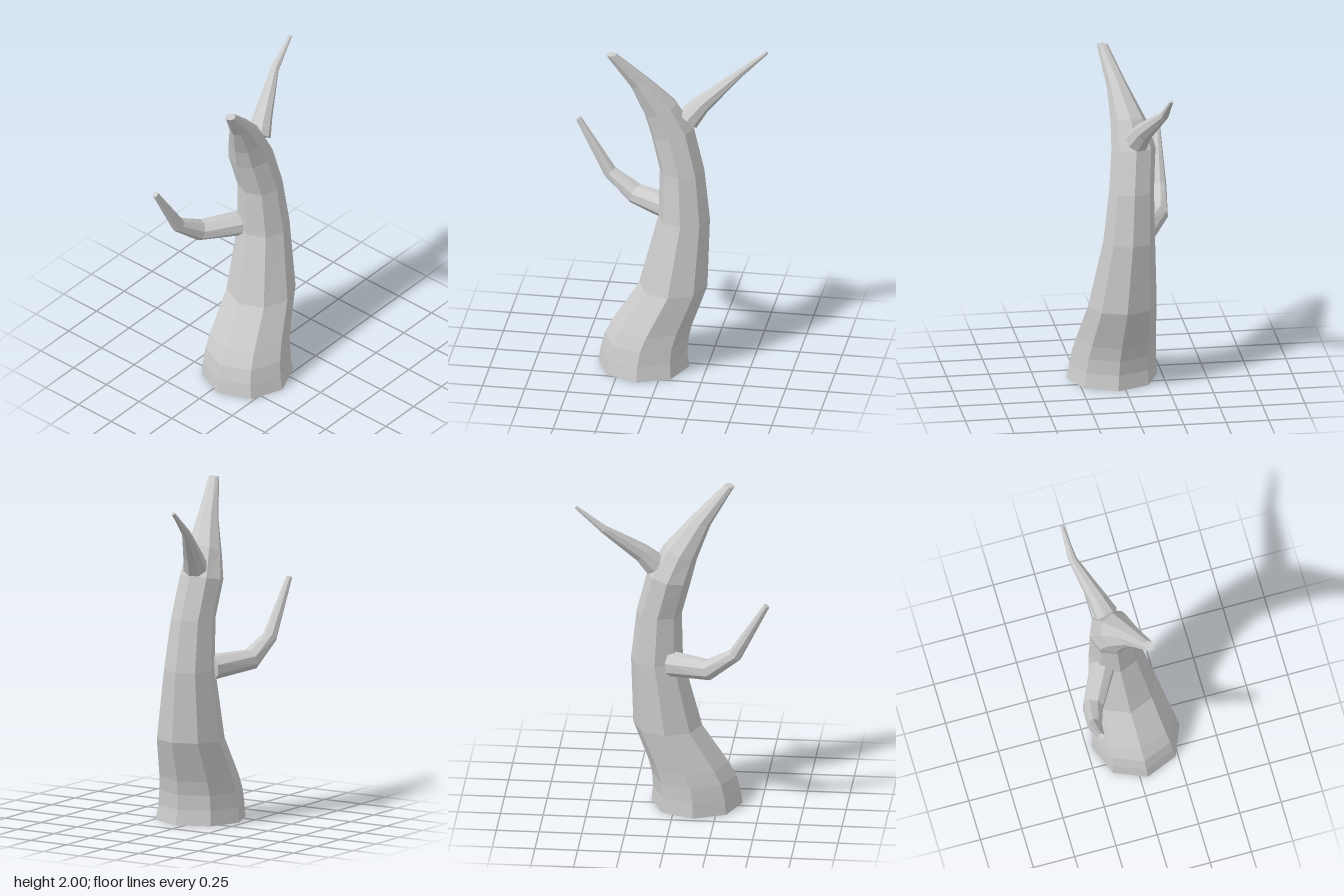
import * as THREE from 'three';

const SIDES = 8;
const UP = new THREE.Vector3(0, 1, 0);

// Faceted, capped limb lofted through rings of [x, y, z, radius, tilt].
// Without a tilt the ring stands square to the path.
function limb(name, rings, material) {
  const centres = rings.map(([x, y, z]) => new THREE.Vector3(x, y, z));
  const points = [];
  const index = [];
  rings.forEach(([, , , radius, tilt], i) => {
    const normal = new THREE.Vector3();
    if (tilt !== undefined) {
      normal.set(-Math.sin(tilt), Math.cos(tilt), 0);
    } else {
      if (i > 0) normal.add(centres[i].clone().sub(centres[i - 1]).normalize());
      if (i < rings.length - 1) normal.add(centres[i + 1].clone().sub(centres[i]).normalize());
      normal.normalize();
    }
    const turn = new THREE.Quaternion().setFromUnitVectors(UP, normal);
    for (let k = 0; k < SIDES; k++) {
      const a = (k / SIDES) * Math.PI * 2;
      points.push(new THREE.Vector3(Math.cos(a) * radius, 0, Math.sin(a) * radius)
        .applyQuaternion(turn).add(centres[i]));
    }
  });
  // Bark faces between neighbouring rings
  for (let i = 0; i < rings.length - 1; i++) {
    for (let k = 0; k < SIDES; k++) {
      const a = i * SIDES + k;
      const b = i * SIDES + (k + 1) % SIDES;
      index.push(a, a + SIDES, b, b, a + SIDES, b + SIDES);
    }
  }
  // End caps
  const last = (rings.length - 1) * SIDES;
  for (let k = 1; k < SIDES - 1; k++) {
    index.push(0, k, k + 1, last, last + k + 1, last + k);
  }
  const indexed = new THREE.BufferGeometry().setFromPoints(points);
  indexed.setIndex(index);
  const geometry = indexed.toNonIndexed();
  geometry.computeVertexNormals();
  const mesh = new THREE.Mesh(geometry, material);
  mesh.name = name;
  return mesh;
}

export function createModel() {
  const group = new THREE.Group();
  group.name = 'bareTree';
  const bark = new THREE.MeshStandardMaterial({ color: 0xcccccc, flatShading: true });

  // Trunk: flared foot, gentle S-bend, tapering into a leaning tip
  group.add(limb('trunk', [
    [-0.122, 0, 0.045, 0.267, 0],
    [-0.121, 0.09, 0.04, 0.256, 0],
    [-0.107, 0.18, 0.035, 0.247, 0],
    [-0.075, 0.265, 0.027, 0.235, 0],
    [0.045, 0.505, 0.007, 0.202, 0.02],
    [0.105, 0.93, -0.024, 0.152, 0],
    [0.09, 1.23, -0.04, 0.132, 0.04],
    [0.03, 1.465, -0.06, 0.13, 0.2],
    [-0.035, 1.615, -0.04, 0.105, 0.42],
    [-0.15, 1.795, 0.01, 0.062, 0.42],
    [-0.31, 1.995, 0.075, 0.031, 0.12],
  ], bark));

  // High branch reaching up to the left
  group.add(limb('upperBranch', [
    [0.115, 1.54, -0.07, 0.073],
    [0.19, 1.625, -0.1, 0.056],
    [0.4, 1.8, -0.19, 0.025],
    [0.563, 1.942, -0.207, 0.01],
  ], bark));

  // Lower branch leaving the back and bending upward on the right
  group.add(limb('lowerBranch', [
    [0.01, 0.935, -0.12, 0.075],
    [-0.22, 0.957, -0.24, 0.063],
    [-0.375, 1.07, -0.272, 0.043],
    [-0.562, 1.395, -0.285, 0.018],
  ], bark));

  return group;
}
